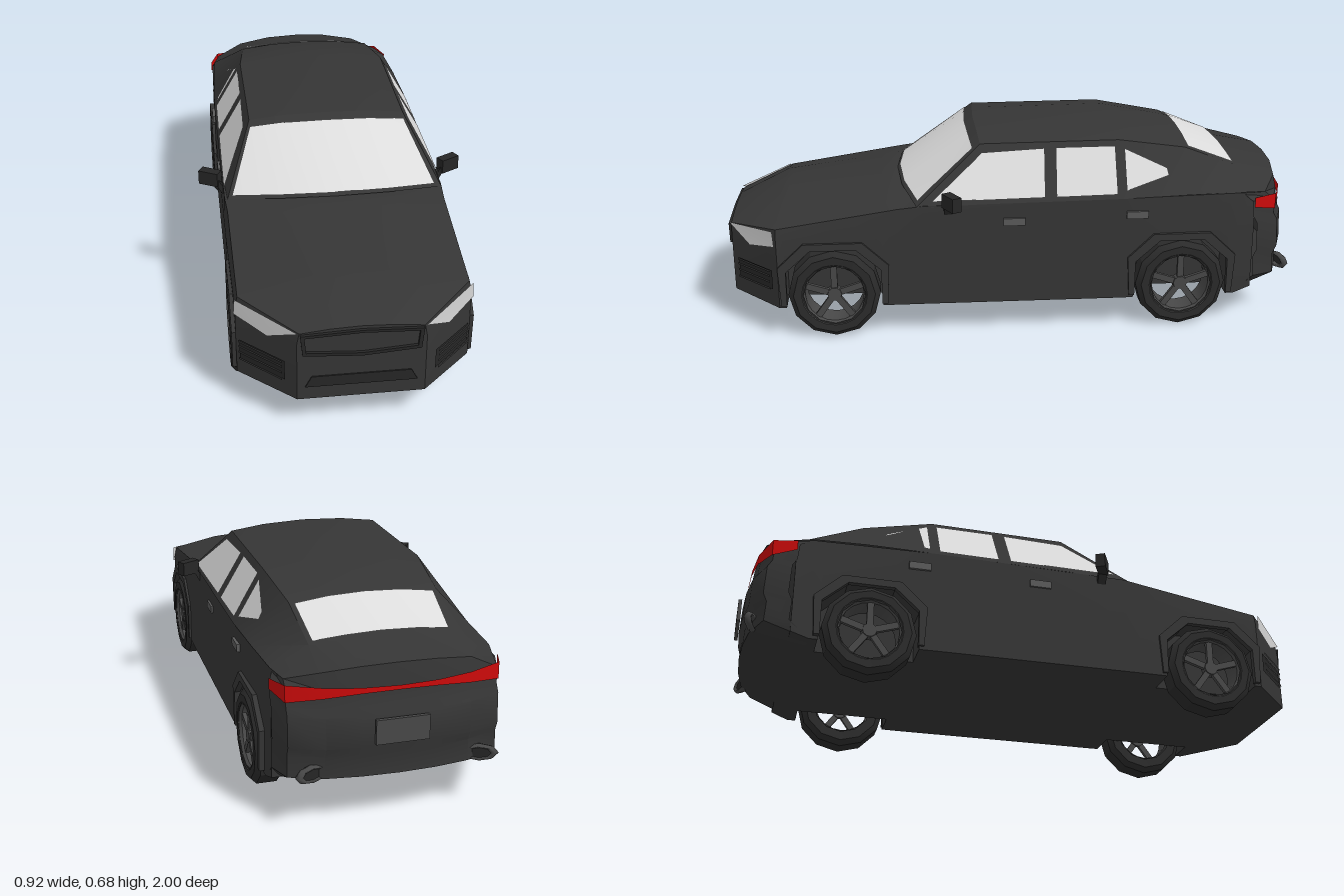
import * as THREE from 'three';
import { toCreasedNormals } from 'three/addons/utils/BufferGeometryUtils.js';

const mat = (name, color) => {
  const m = new THREE.MeshStandardMaterial({ color, side: THREE.DoubleSide });
  m.name = name;
  return m;
};
const paint = mat('charcoal paint', 0x353535);
const trim = mat('black trim', 0x262626);
const rubber = mat('tyre rubber', 0x2b2b2b);
const alloy = mat('dark alloy', 0x484848);
const handleGrey = mat('handle grey', 0x5a5a5a);
const glass = mat('pale glass', 0xdcdcdc);
const lampClear = mat('clear lamp', 0xd4d4d4);
const lampRed = mat('red lamp', 0xcc0a0a);

const lerp = THREE.MathUtils.lerp;
const mix = (a, b, t) => a.map((v, i) => lerp(v, b[i], t));

// Skins rows of points; closed rows wrap round and get end caps
function skin(rows, closed = false, crease = 0.5) {
  const pos = [];
  const tri = (...p) => p.forEach((v) => pos.push(...v));
  const n = rows[0].length;
  for (let i = 0; i < rows.length - 1; i++) {
    for (let j = 0; j < (closed ? n : n - 1); j++) {
      const k = (j + 1) % n;
      const a = rows[i][j], b = rows[i][k], c = rows[i + 1][k], d = rows[i + 1][j];
      tri(a, c, b);
      tri(a, d, c);
    }
  }
  if (closed) {
    [rows[0], rows[rows.length - 1]].forEach((r, end) => {
      const mid = [0, 0.25, r[0][2]];
      r.forEach((p, j) => {
        const q = r[(j + 1) % n];
        end ? tri(mid, q, p) : tri(mid, p, q);
      });
    });
  }
  const g = new THREE.BufferGeometry();
  g.setAttribute('position', new THREE.Float32BufferAttribute(pos, 3));
  return toCreasedNormals(g, crease);
}

const flip = ([x, y, z]) => [-x, y, z];
// Completes a half row running from +x to the centre line
const whole = (half) => [...half, ...half.slice(0, -1).reverse().map(flip)];

function add(parent, name, geometry, material, x = 0, y = 0, z = 0) {
  const m = new THREE.Mesh(geometry, material);
  m.name = name;
  m.position.set(x, y, z);
  parent.add(m);
  return m;
}

const axles = [0.63, -0.575];

// Lower body: z, half width, floor, shoulder x, shoulder y, inner x, inner y, centre y
const stations = [
  [0.99, 0.2, 0.115, 0.192, 0.362, 0.1, 0.372, 0.376],
  [0.82, 0.375, 0.11, 0.366, 0.395, 0.2, 0.43, 0.445],
  [0.41, 0.38, 0.11, 0.37, 0.457, 0.2, 0.483, 0.49],
  [0.32, 0.38, 0.11, 0.376, 0.468, 0.2, 0.468, 0.468],
  [-0.36, 0.38, 0.108, 0.377, 0.476, 0.2, 0.476, 0.476],
  [-0.77, 0.37, 0.108, 0.358, 0.478, 0.2, 0.478, 0.478],
  [-0.83, 0.365, 0.13, 0.345, 0.474, 0.2, 0.474, 0.474],
];
function bodyRing(z, arch) {
  let i = 0;
  while (i < stations.length - 2 && z < stations[i + 1][0]) i++;
  const a = stations[i], b = stations[i + 1];
  const [, w, floor, sx, sy, ix, iy, cy] = mix(a, b, (z - a[0]) / (b[0] - a[0]));
  const wi = Math.min(0.27, w * 0.75), lip = arch || floor;
  const half = [[wi, floor, z], [wi, lip, z], [w, lip, z], [w, Math.min(0.36, sy - 0.04), z], [sx, sy, z], [ix, iy, z]];
  return [[0, floor, z], ...half, [0, cy, z], ...half.slice().reverse().map(flip)];
}
function buildBody(car) {
  const cuts = stations.map((s) => [s[0], 0]);
  for (const c of axles) {
    for (const s of [1, -1]) {
      cuts.push([c + s * 0.166, 0], [c + s * 0.165, 0.25], [c + s * 0.08, 0.325]);
    }
  }
  cuts.sort((a, b) => b[0] - a[0]);
  add(car, 'lowerBody', skin(cuts.map(([z, arch]) => bodyRing(z, arch)), true), paint);
}

// Cabin and boot lid, from the windscreen base to the tail lip
const cabin = [
  [[0.376, 0.462, 0.345], [0.366, 0.468, 0.345], [0.19, 0.485, 0.39], [0, 0.49, 0.405]],
  [[0.378, 0.47, 0.12], [0.272, 0.652, 0.12], [0.15, 0.667, 0.125], [0, 0.672, 0.13]],
  [[0.378, 0.475, -0.36], [0.272, 0.655, -0.36], [0.15, 0.672, -0.36], [0, 0.679, -0.36]],
  [[0.37, 0.48, -0.6], [0.248, 0.615, -0.6], [0.13, 0.63, -0.6], [0, 0.635, -0.6]],
  [[0.358, 0.48, -0.79], [0.235, 0.54, -0.79], [0.12, 0.548, -0.79], [0, 0.552, -0.79]],
  [[0.337, 0.474, -0.87], [0.24, 0.503, -0.925], [0.12, 0.518, -0.945], [0, 0.522, -0.95]],
];
function buildCabin(car) {
  add(car, 'cabin', skin(cabin.map(whole)), paint);

  // Screens lie just above the cabin skin
  const screen = (name, r0, r1, t0, t1, side, lift) => {
    const rows = [t0, t1].map((t) => whole(r0.slice(1).map((p, i) => {
      const [x, y, z] = mix(p, r1[i + 1], t);
      return [x * side, y + 0.004, z + lift];
    })));
    add(car, name, skin(rows), glass);
  };
  screen('windscreen', cabin[0], cabin[1], 0.04, 0.9, 0.96, 0.003);
  screen('rearWindow', cabin[3], cabin[4], 0.06, 0.94, 0.94, -0.002);

  // Side windows as z, y outlines laid on the sloping cabin side
  const sideX = (z, y) => 0.383 - (y - 0.47) * 0.583 - Math.max(0, -0.36 - z) * 0.08;
  const windows = {
    frontSideWindow: [[0.115, 0.625], [-0.1, 0.634], [0.29, 0.483], [-0.095, 0.488]],
    rearSideWindow: [[-0.142, 0.635], [-0.345, 0.636], [-0.137, 0.488], [-0.345, 0.491]],
    quarterWindow: [[-0.38, 0.628], [-0.525, 0.563], [-0.38, 0.5], [-0.53, 0.54]],
  };
  for (const [name, o] of Object.entries(windows)) {
    const p = o.map(([z, y]) => [sideX(z, y), y, z]);
    add(car, name, skin([[p[2], p[0]], [p[3], p[1]]]), glass);
    add(car, name, skin([[p[0], p[2]], [p[1], p[3]]].map((r) => r.map(flip))), glass);
  }
}

// Tail: rows from the lip down to the underside, curved in plan
const tailX = [0.367, 0.338, 0.23, 0.12, 0];
const tailZ = [-0.82, -0.9, -0.94, -0.955, -0.96];
const tailRow = (y, dz) => tailX.map((x, i) => [x, y, tailZ[i] + dz]);
function buildTail(car) {
  const rows = [
    [[0.35, 0.474, -0.79], ...cabin[5]],
    tailRow(0.45, 0), tailRow(0.395, -0.005), tailRow(0.37, -0.02), tailRow(0.27, -0.025), tailRow(0.24, -0.012),
    tailRow(0.17, -0.016), tailX.map((x) => [x, 0.108, -0.77]),
  ];
  add(car, 'tail', skin(rows.map(whole)), paint);

  // Full-width lamp, tall at the corners and thin in the middle
  const top = [0.463, 0.468, 0.463, 0.457, 0.455], low = [0.428, 0.412, 0.428, 0.438, 0.441];
  const lamp = [top, low].map((ys) => whole(tailX.map((x, i) => [x * 1.005 + 0.002, ys[i], tailZ[i] - 0.008])));
  lamp.forEach((r) => { r[4][0] = 0; });
  add(car, 'tailLamp', skin(lamp), lampRed);
  add(car, 'rearPlate', new THREE.BoxGeometry(0.17, 0.08, 0.012), alloy, 0, 0.322, -0.992);

  for (const s of [1, -1]) {
    const tip = new THREE.Group();
    tip.name = 'exhaustTip';
    tip.position.set(s * 0.27, 0.19, -0.95);
    tip.rotation.y = s * 0.35;
    const ring = new THREE.TorusGeometry(0.03, 0.008, 5, 8).scale(1.6, 0.75, 1.6);
    add(tip, 'exhaustRing', ring, alloy);
    add(tip, 'exhaustOpening', new THREE.CircleGeometry(0.03, 8).scale(1.6, 0.75, 1), trim, 0, 0, -0.006);
    car.add(tip);
  }
}

// Nose: lamps, grille and intakes
const noseZ = (x) => 0.994 - Math.max(0, Math.abs(x) - 0.2) * 0.97;
const outline = (pts) => new THREE.Shape(pts.map((p) => new THREE.Vector2(...p)));
function buildNose(car) {
  const rim = outline([[-0.19, 0.358], [0, 0.366], [0.19, 0.358], [0.183, 0.285], [0, 0.272], [-0.183, 0.285]]);
  rim.holes.push(outline([[-0.177, 0.349], [0, 0.357], [0.177, 0.349], [0.172, 0.295], [0, 0.283], [-0.172, 0.295]]));
  add(car, 'grilleFrame', new THREE.ExtrudeGeometry(rim, { depth: 0.012, bevelEnabled: false }), trim, 0, 0, 0.988);
  const lower = outline([[-0.175, 0.162], [0.175, 0.162], [0.155, 0.2], [-0.155, 0.2]]);
  add(car, 'lowerIntake', new THREE.ExtrudeGeometry(lower, { depth: 0.006, bevelEnabled: false }), trim, 0, 0, 0.988);

  for (const s of [1, -1]) {
    const lamp = [[0.192, 0.366], [0.372, 0.392], [0.28, 0.312], [0.376, 0.337]]
      .map(([x, y]) => [s * (x + 0.004), y, noseZ(x) + 0.003]);
    const order = s > 0 ? [[0, 1], [2, 3]] : [[1, 0], [3, 2]];
    add(car, 'headlight', skin(order.map((r) => r.map((i) => lamp[i]))), lampClear);

    // Corner vent with slats
    const at = (x, y, out) => [s * (x + out), y, noseZ(x) + out];
    const strip = (name, x0, x1, y0, y1, out, m) => {
      const cols = s > 0 ? [x0, x1] : [x1, x0];
      add(car, name, skin([y1, y0].map((y) => cols.map((x) => at(x, y, out)))), m);
    };
    strip('cornerVent', 0.232, 0.362, 0.177, 0.247, 0.003, trim);
    for (const y of [0.178, 0.203, 0.225, 0.243]) strip('ventSlat', 0.235, 0.36, y, y + 0.008, 0.009, paint);
  }
}

function buildWheel() {
  const wheel = new THREE.Group();
  wheel.name = 'wheel';
  const ringOf = (pts, n) => toCreasedNormals(
    new THREE.LatheGeometry(pts.map((p) => new THREE.Vector2(...p)), n).rotateZ(-Math.PI / 2), 0.45);
  add(wheel, 'tyre', ringOf([[0.106, -0.048], [0.14, -0.05], [0.158, -0.033], [0.158, 0.033], [0.14, 0.05], [0.106, 0.048]], 12), rubber);
  add(wheel, 'rim', ringOf([[0.1, -0.045], [0.1, 0.038], [0.112, 0.051]], 20), alloy);
  add(wheel, 'hub', new THREE.CylinderGeometry(0.024, 0.028, 0.025, 10).rotateZ(-Math.PI / 2), alloy, 0.03);
  for (let i = 0; i < 5; i++) {
    const spoke = new THREE.BoxGeometry(0.014, 0.09, 0.022).translate(0.032, 0.058, 0);
    add(wheel, 'spoke', spoke.rotateX(i * Math.PI * 0.4), alloy);
  }
  return wheel;
}

function buildSides(car) {
  const flare = new THREE.ExtrudeGeometry(outline([
    [0.182, 0.12], [0.19, 0.26], [0.1, 0.345], [-0.1, 0.345], [-0.19, 0.26], [-0.182, 0.12],
    [-0.163, 0.12], [-0.162, 0.245], [-0.078, 0.32], [0.078, 0.32], [0.162, 0.245], [0.163, 0.12],
  ]), { depth: 0.02, bevelEnabled: false }).rotateY(-Math.PI / 2).translate(0.01, 0, 0);

  for (const s of [1, -1]) {
    for (const z of axles) {
      add(car, 'archFlare', flare, paint, s * 0.378, 0, z);
      const wheel = buildWheel();
      wheel.position.set(s * 0.34, 0.158, z);
      if (s < 0) wheel.rotation.y = Math.PI;
      car.add(wheel);
    }
    for (const [z, y] of [[0.01, 0.405], [-0.415, 0.417]]) {
      add(car, 'doorHandle', new THREE.BoxGeometry(0.014, 0.026, 0.075), handleGrey, s * 0.379, y, z);
    }
    // Door mirror on a short leaning arm
    const housing = add(car, 'mirrorHousing', new THREE.BoxGeometry(0.072, 0.05, 0.034), trim, s * 0.419, 0.493, 0.225);
    housing.rotation.y = s * 0.5;
    const arm = add(car, 'mirrorArm', new THREE.BoxGeometry(0.016, 0.055, 0.03), trim, s * 0.386, 0.465, 0.235);
    arm.rotation.z = -s * 0.5;
  }
}

export function createModel() {
  const car = new THREE.Group();
  car.name = 'car';
  [buildBody, buildCabin, buildTail, buildNose, buildSides].forEach((build) => build(car));
  return car;
}
